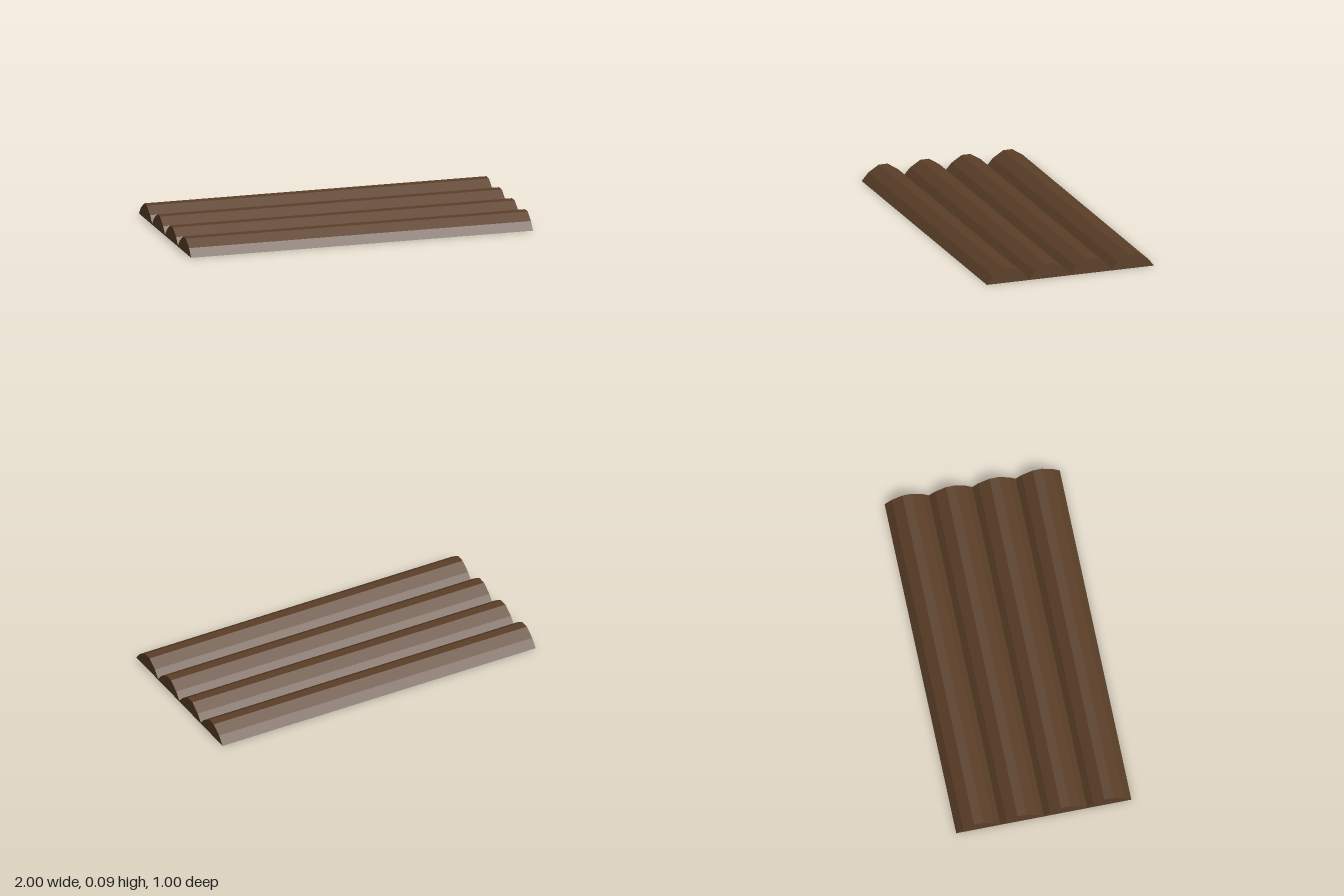
import * as THREE from 'three';

export function createModel() {
  const group = new THREE.Group();
  group.name = 'logPanel';
  const material = new THREE.MeshStandardMaterial({ color: 0x5c4029, flatShading: true });

  // Cross-section: four half-round logs side by side on a flat base
  const count = 4, pitch = 0.248, length = 2;
  const facets = [[-0.088, 0.046], [-0.026, 0.085], [0.026, 0.085], [0.088, 0.046]];
  const outline = new THREE.Shape();
  outline.moveTo(-0.5, 0);
  for (let i = 0; i < count; i++) {
    const centre = (i - (count - 1) / 2) * pitch;
    for (const [x, y] of facets) outline.lineTo(centre + x, y);
    // shallow valley between neighbouring logs
    if (i < count - 1) outline.lineTo(centre + pitch / 2, 0.005);
  }
  outline.lineTo(0.5, 0);
  outline.closePath();

  // Run the section along x
  const geometry = new THREE.ExtrudeGeometry(outline, { depth: length, bevelEnabled: false });
  geometry.translate(0, 0, -length / 2);
  geometry.rotateY(Math.PI / 2);

  const logs = new THREE.Mesh(geometry, material);
  logs.name = 'logs';
  group.add(logs);
  return group;
}
